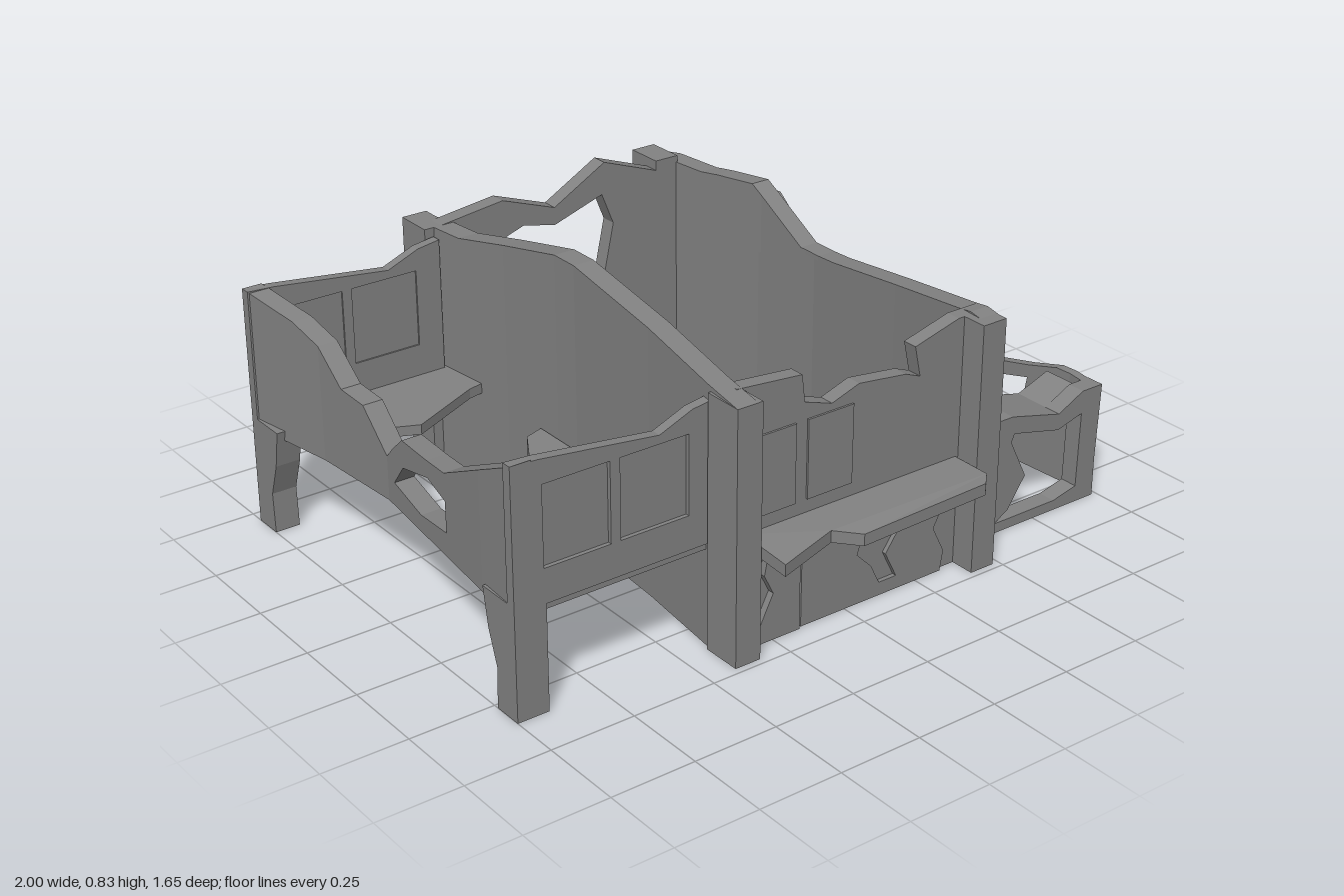
import * as THREE from 'three';

export function createModel() {
  const model = new THREE.Group();
  const concrete = new THREE.MeshStandardMaterial({ color: 0x828282, side: THREE.DoubleSide });
  concrete.name = 'grey concrete';

  const add = (name, geo) => {
    const mesh = new THREE.Mesh(geo, concrete);
    mesh.name = name;
    model.add(mesh);
    return mesh;
  };
  const box = (name, x0, x1, y0, y1, z0, z1) =>
    add(name, new THREE.BoxGeometry(x1 - x0, y1 - y0, z1 - z0)
      .translate((x0 + x1) / 2, (y0 + y1) / 2, (z0 + z1) / 2));
  const toPoints = (list) => list.map(([a, b]) => new THREE.Vector2(a, b));

  // Flat wall facing z, cut from an outline with holes
  const wall = (name, outline, z0, z1, holes = []) => {
    const shape = new THREE.Shape(toPoints(outline));
    holes.forEach((h) => shape.holes.push(new THREE.Path(toPoints(h))));
    const geo = new THREE.ExtrudeGeometry(shape, { depth: z1 - z0, bevelEnabled: false });
    return add(name, geo.translate(0, 0, z0));
  };
  // Level slab cut from an outline in x and z
  const slab = (name, outline, y0, y1) => {
    const geo = new THREE.ExtrudeGeometry(new THREE.Shape(toPoints(outline)), { depth: y1 - y0, bevelEnabled: false });
    return add(name, geo.rotateX(Math.PI / 2).translate(0, y1, 0));
  };
  const rect = (x0, x1, y0, y1) => [[x0, y0], [x1, y0], [x1, y1], [x0, y1]];

  // Linear interpolation through [z, x] pairs in falling z
  const bend = (pairs) => (z) => {
    for (let i = 0; i < pairs.length - 1; i++) {
      const [za, xa] = pairs[i], [zb, xb] = pairs[i + 1];
      if (z >= zb) return xa + (xb - xa) * (za - z) / (za - zb);
    }
    return pairs[pairs.length - 1][1];
  };
  // Bent wall along z: columns of [z, low, high] between two side curves
  const bentWall = (name, cols, inner, outer) => {
    const pos = [];
    const quad = (a, b, c, d) => pos.push(...a, ...b, ...c, ...a, ...c, ...d);
    const ring = ([z, lo, hi]) => [
      [inner(z), lo, z], [outer(z), lo, z], [outer(z), hi, z], [inner(z), hi, z]];
    const rings = cols.map(ring);
    for (let i = 0; i < rings.length - 1; i++) {
      const a = rings[i], b = rings[i + 1];
      for (let k = 0; k < 4; k++) {
        const n = (k + 1) % 4;
        quad(a[k], b[k], b[n], a[n]);
      }
    }
    const first = rings[0], last = rings[rings.length - 1];
    quad(first[0], first[1], first[2], first[3]);
    quad(last[3], last[2], last[1], last[0]);
    const geo = new THREE.BufferGeometry();
    geo.setAttribute('position', new THREE.Float32BufferAttribute(pos, 3));
    geo.computeVertexNormals();
    return add(name, geo);
  };
  const shift = (f, d) => (z) => f(z) + d;

  // Main house: left wall
  const leftOuter = bend([[0.73, -0.415], [0.6, -0.405], [0.3, -0.37], [-0.1, -0.342], [-0.4, -0.352], [-0.72, -0.385], [-0.83, -0.415]]);
  bentWall('leftMainWall', [[0.73, 0, 0.74], [0.6, 0, 0.755], [0.3, 0, 0.79], [-0.07, 0, 0.83], [-0.16, 0, 0.83],
    [-0.4, 0, 0.78], [-0.6, 0, 0.74], [-0.72, 0, 0.74], [-0.83, 0, 0.74]], leftOuter, shift(leftOuter, 0.065));

  // Main house: right wall, a thin pushed-out sheet under a broken outer layer
  const rightOuter = bend([[0.73, 0.48], [0.6, 0.49], [0.3, 0.53], [-0.1, 0.575], [-0.35, 0.57], [-0.76, 0.53], [-0.83, 0.49]]);
  const rightInner = shift(rightOuter, -0.06);
  const sheetOuter = bend([[0.73, 0.45], [0.3, 0.5], [-0.1, 0.555], [-0.35, 0.59], [-0.76, 0.51], [-0.83, 0.46]]);
  bentWall('rightWallFront', [[0.73, 0, 0.735], [0.65, 0, 0.745], [0.6, 0, 0.737], [0.3, 0, 0.69], [0, 0, 0.643]], rightInner, rightOuter);
  bentWall('rightWallSheet', [[0, 0, 0.63], [-0.1, 0, 0.62], [-0.16, 0, 0.62], [-0.35, 0, 0.73], [-0.74, 0, 0.73]], rightInner, sheetOuter);
  bentWall('rightWallUpperLayer', [[0, 0.55, 0.643], [-0.08, 0.62, 0.635], [-0.14, 0.62, 0.635], [-0.141, 0.48, 0.635], [-0.16, 0.487, 0.635],
    [-0.34, 0.56, 0.74], [-0.38, 0.547, 0.765], [-0.53, 0.5, 0.75], [-0.6, 0.55, 0.74], [-0.74, 0.64, 0.74]], rightInner, rightOuter);
  bentWall('rightWallLowerLayer', [[0, 0, 0.55], [-0.1, 0, 0.42], [-0.16, 0, 0.42], [-0.25, 0, 0.05], [-0.35, 0, 0.05], [-0.58, 0, 0.05], [-0.74, 0, 0.05]],
    rightInner, rightOuter);
  bentWall('rightWallBack', [[-0.74, 0, 0.74], [-0.76, 0, 0.74], [-0.83, 0, 0.74]], rightInner, rightOuter);
  bentWall('rightWallScar', [[0.5, 0, 0.35], [0.3, 0, 0.35], [0, 0, 0.35]], rightOuter, shift(rightOuter, 0.006));

  // Corner pillars
  for (const x of [-0.415, 0.4]) {
    box('frontPillar', x, x + 0.08, 0, 0.74, 0.61, 0.73);
    box('backPillar', x, x + 0.08, 0, x > 0 ? 0.76 : 0.74, -0.83, -0.71);
  }

  // Front wall with broken top, canopy and cracked plaster
  wall('frontWall', [[-0.36, 0], [0.42, 0], [0.42, 0.74], [0.38, 0.74], [0.23, 0.7], [0.25, 0.61], [0.2, 0.63], [0.04, 0.65],
    [-0.05, 0.62], [-0.14, 0.65], [-0.15, 0.73], [-0.36, 0.75]], 0.61, 0.655);
  const canopy = slab('canopy', [[-0.33, 0.65], [0.39, 0.65], [0.39, 0.78], [0.35, 0.82], [-0.07, 0.82], [-0.14, 0.77], [-0.33, 0.82]], 0.295, 0.33);
  const cp = canopy.geometry.attributes.position;
  for (let i = 0; i < cp.count; i++) if (cp.getZ(i) > 0.8 && cp.getX(i) < 0) cp.setY(i, cp.getY(i) - 0.012);
  canopy.geometry.computeVertexNormals();
  wall('plasterLeft', [[-0.33, 0], [-0.16, 0], [-0.16, 0.27], [-0.27, 0.25], [-0.28, 0.2], [-0.25, 0.14], [-0.29, 0.06]], 0.655, 0.675);
  wall('plasterRight', [[-0.15, 0], [0.34, 0], [0.35, 0.06], [0.31, 0.14], [0.35, 0.22], [0.33, 0.29], [-0.15, 0.29]], 0.655, 0.668,
    [[[0.04, 0.15], [0.09, 0.1], [0.12, 0.04], [0.18, 0.04], [0.14, 0.12], [0.19, 0.19], [0.17, 0.24], [0.1, 0.22], [0.05, 0.18]]]);
  [[-0.31, -0.17], [-0.13, 0.02]].forEach(([a, b]) =>
    wall('upperFrontPanel', rect(a, b, 0.37, 0.6), 0.655, 0.661));

  // Back wall, torn open down to the ground
  wall('backWall', [[-0.36, 0], [-0.15, 0], [-0.17, 0.15], [-0.13, 0.3], [-0.17, 0.45], [-0.14, 0.65], [-0.08, 0.67], [0.03, 0.645],
    [0.2, 0.7], [0.24, 0.6], [0.2, 0.42], [0.25, 0.22], [0.22, 0], [0.5, 0], [0.5, 0.74], [0.4, 0.73], [0.21, 0.8], [0.03, 0.7],
    [-0.15, 0.765], [-0.36, 0.74]], -0.76, -0.71);
  wall('backWallPanel', rect(0.28, 0.39, 0.35, 0.64), -0.766, -0.76);

  // Left wing: end walls with two blind windows each, on legs
  const wingOutline = [[-1, 0.31], [-0.39, 0.31], [-0.39, 0.715], [-0.46, 0.705], [-0.56, 0.665], [-0.92, 0.71], [-1, 0.715]];
  const blindWindows = [rect(-0.91, -0.71, 0.41, 0.64), rect(-0.68, -0.47, 0.41, 0.64)];
  for (const s of [1, -1]) {
    const face = s > 0 ? 0.605 : -0.705;
    const span = (a, b) => [Math.min(face - s * a, face - s * b), Math.max(face - s * a, face - s * b)];
    wall('leftWingEndWall', wingOutline, ...span(0, 0.03), blindWindows);
    blindWindows.forEach((w) => wall('blindWindow', w, ...span(0.012, 0.025)));
    box('leftWingLegFront', -1, -0.905, 0, 0.33, ...span(0, 0.03));
    const side = new THREE.Shape(toPoints([[0, 0], [0.09, 0], [0.085, 0.12], [0.12, 0.22], [0.14, 0.33], [0, 0.33]]));
    const leg = new THREE.ExtrudeGeometry(side, { depth: 0.075, bevelEnabled: false });
    // turn the profile so its depth runs inwards along z
    leg.rotateY(-s * -Math.PI / 2 * -1 * -1).scale(1, 1, 1);
    leg.computeBoundingBox();
    const zMin = leg.boundingBox.min.z, zMax = leg.boundingBox.max.z;
    leg.translate(-1 - leg.boundingBox.min.x, 0, s > 0 ? face - zMax : face - zMin);
    add('leftWingLeg', leg);
  }

  // Left wing: bent, breached outer wall
  const wingOuter = bend([[0.605, -1], [0.45, -0.99], [-0.1, -0.925], [-0.4, -0.945], [-0.705, -1]]);
  const wingInner = shift(wingOuter, 0.06);
  bentWall('leftWingSideFront', [[0.605, 0.3, 0.715], [0.45, 0.3, 0.64], [0.25, 0.3, 0.54]], wingOuter, wingInner);
  bentWall('leftWingSideLintel', [[0.25, 0.46, 0.54], [0.15, 0.48, 0.53], [0, 0.44, 0.52], [-0.06, 0.37, 0.47]], wingOuter, wingInner);
  bentWall('leftWingSideSill', [[0.25, 0.3, 0.37], [0.1, 0.3, 0.35], [-0.06, 0.3, 0.37]], wingOuter, wingInner);
  bentWall('leftWingSideBack', [[-0.06, 0.3, 0.47], [-0.1, 0.3, 0.43], [-0.2, 0.3, 0.54], [-0.3, 0.3, 0.55], [-0.4, 0.3, 0.64],
    [-0.5, 0.3, 0.68], [-0.705, 0.3, 0.715]], wingOuter, wingInner);

  // Left wing: torn floor and rubble post
  slab('leftWingBackFloor', [[-0.97, -0.69], [-0.37, -0.69], [-0.36, -0.52], [-0.41, -0.51], [-0.64, -0.4], [-0.88, -0.51]], 0.285, 0.315);
  slab('leftWingFrontFloor', [[-0.97, 0.59], [-0.4, 0.59], [-0.36, 0.06], [-0.41, 0.08], [-0.64, 0.12], [-0.88, 0.09]], 0.285, 0.315);
  slab('rubblePost', [[-0.35, -0.24], [-0.41, -0.22], [-0.47, -0.12], [-0.485, -0.05], [-0.45, 0.06], [-0.35, 0.08]], 0, 0.28);

  // Right wing: low front wall with a torn window and a stub of roof
  wall('rightWingFrontWall', [[0.46, 0], [0.98, 0], [0.995, 0.35], [0.92, 0.35], [0.83, 0.305], [0.65, 0.35], [0.46, 0.35]], 0.55, 0.605,
    [[[0.6, 0.03], [0.83, 0.03], [0.915, 0.05], [0.92, 0.28], [0.83, 0.255], [0.66, 0.295], [0.65, 0.27], [0.71, 0.15], [0.65, 0.06]]]);
  const stub = [[0.5, 0.35], [0.65, 0.35], [0.83, 0.305], [0.94, 0.345], [0.94, 0.31], [0.83, 0.265], [0.65, 0.31], [0.5, 0.31]];
  wall('rightWingRoofStub', stub, 0.44, 0.56);
  box('rightWingJamb', 0.49, 0.57, 0, 0.33, 0.45, 0.56);

  // Right wing: thin broken side wall with a window
  const sideOuter = bend([[0.605, 0.985], [0.5, 1], [0.1, 0.975], [-0.25, 0.965]]);
  const sideInner = shift(sideOuter, -0.028);
  bentWall('rightWingSideFront', [[0.605, 0, 0.35], [0.5, 0, 0.35], [0.45, 0, 0.35], [0.34, 0, 0.32]], sideInner, sideOuter);
  bentWall('rightWingSideLintel', [[0.34, 0.28, 0.32], [0.18, 0.24, 0.285], [0.14, 0.17, 0.278]], sideInner, sideOuter);
  bentWall('rightWingSideSill', [[0.34, 0, 0.28], [0.31, 0, 0.09], [0.16, 0, 0.03], [0.14, 0, 0.17]], sideInner, sideOuter);
  bentWall('rightWingSideBack', [[0.14, 0, 0.278], [0.09, 0, 0.27], [0.06, 0, 0.17], [-0.05, 0, 0.22], [-0.19, 0, 0.23], [-0.245, 0, 0.01]],
    sideInner, sideOuter);

  // Leaning slab of rubble behind the right wing
  const heap = new THREE.Shape(toPoints([[-0.757, 0], [-0.61, 0], [-0.65, 0.21], [-0.757, 0.31]]));
  const heapGeo = new THREE.ExtrudeGeometry(heap, { depth: 0.36, bevelEnabled: false });
  heapGeo.rotateY(-Math.PI / 2).translate(0.86, 0, 0);
  const hp = heapGeo.attributes.position;
  for (let i = 0; i < hp.count; i++) if (hp.getX(i) > 0.8) hp.setX(i, 0.86 - (hp.getZ(i) + 0.757) * 0.55);
  heapGeo.computeVertexNormals();
  add('rubbleSlab', heapGeo);

  return model;
}
